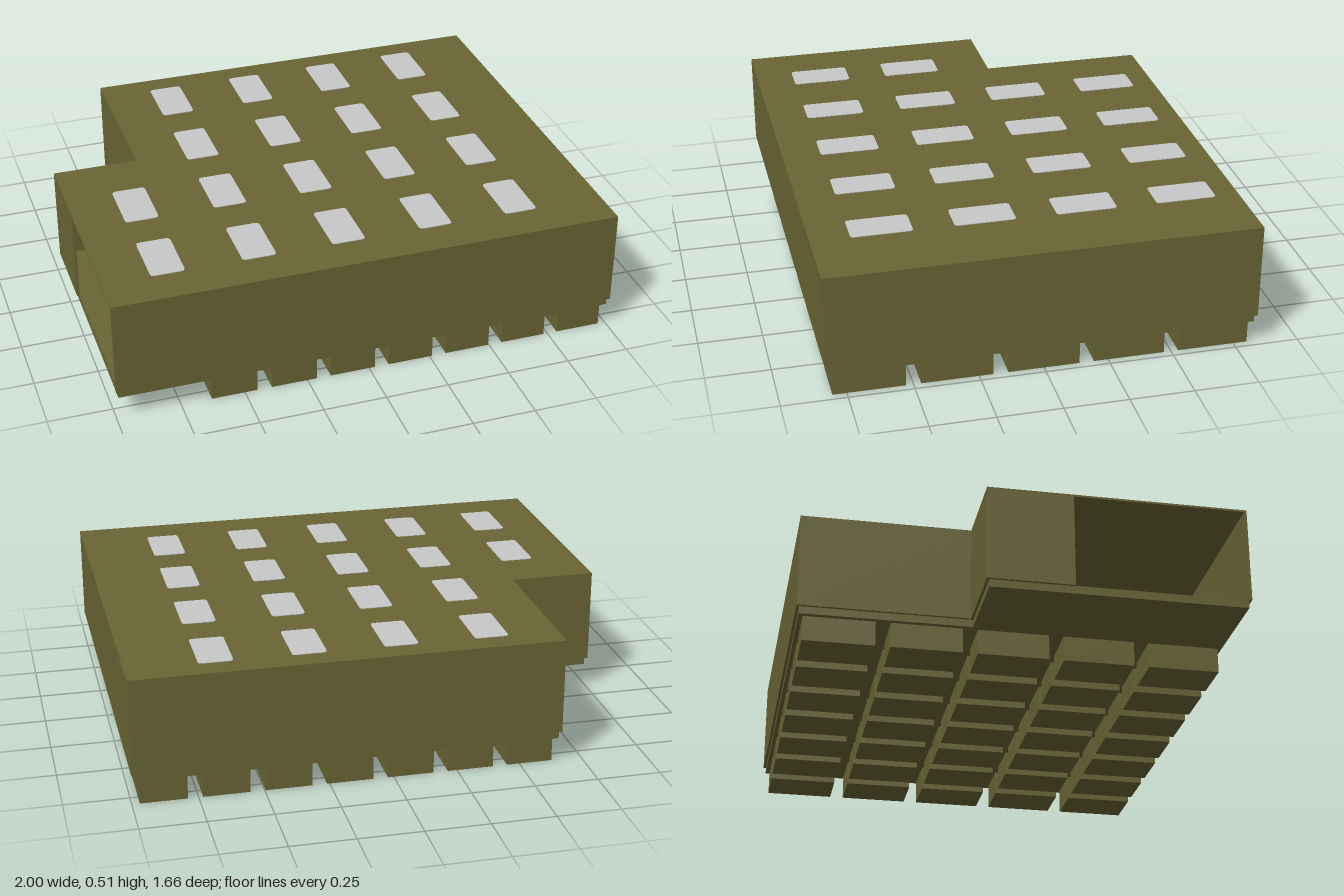
import * as THREE from 'three';

const olive = new THREE.MeshStandardMaterial({ color: 0x6a6535 });
olive.name = 'olive shell';
const pale = new THREE.MeshStandardMaterial({ color: 0xc8c8c8 });
pale.name = 'pale skylight';

// L-shaped plan as [x, z] points, shrunk inwards by d
const plan = (d) => [
  [-1 + d, 0.83 - d], [1 - d, 0.83 - d], [1 - d, -0.83 + d],
  [-0.66 + d, -0.83 + d], [-0.66 + d, -0.17 + d], [-1 + d, -0.17 + d],
];

// Horizontal plate from a shape drawn in (x, -z)
function plate(shape, y, height, material, name) {
  const geo = new THREE.ExtrudeGeometry(shape, { depth: height, bevelEnabled: false, curveSegments: 3 });
  geo.rotateX(-Math.PI / 2);
  const mesh = new THREE.Mesh(geo, material);
  mesh.position.y = y;
  mesh.name = name;
  return mesh;
}
const planShape = (d) => new THREE.Shape(plan(d).map(([x, z]) => new THREE.Vector2(x, -z)));

function box(x0, x1, y0, y1, z0, z1, name) {
  const mesh = new THREE.Mesh(new THREE.BoxGeometry(x1 - x0, y1 - y0, z1 - z0), olive);
  mesh.position.set((x0 + x1) / 2, (y0 + y1) / 2, (z0 + z1) / 2);
  mesh.name = name;
  return mesh;
}

export function createModel() {
  const model = new THREE.Group();
  model.name = 'hall';

  // Floor slab and thin roof
  model.add(plate(planShape(0.01), 0.1, 0.032, olive, 'floorSlab'));
  model.add(plate(planShape(0), 0.502, 0.008, olive, 'roof'));

  // Outer walls; the narrow end wall leaves an open doorway towards the front
  const t = 0.01, y0 = 0.13, y1 = 0.502;
  model.add(
    box(-1, 1, y0, y1, 0.83 - t, 0.83, 'frontWall'),
    box(1 - t, 1, y0, y1, -0.83, 0.83, 'longSideWall'),
    box(-0.66, 1, y0, y1, -0.83, -0.83 + t, 'backWall'),
    box(-0.66, -0.66 + t, y0, y1, -0.83, -0.17, 'notchSideWall'),
    box(-1, -0.66 + t, y0, y1, -0.17, -0.17 + t, 'notchBackWall'),
    box(-1, -1 + t, y0, y1, -0.17, 0.16, 'doorSideWall'),
  );

  // Grid of foundation blocks
  const feet = new THREE.Group();
  feet.name = 'foundationBlocks';
  for (let i = 0; i < 7; i++) {
    for (let j = 0; j < 5; j++) {
      const x = -0.54 + i * 0.2367, z = (j - 2) * 0.333;
      feet.add(box(x - 0.09, x + 0.09, 0, 0.1, z - 0.138, z + 0.138, 'foundationBlock'));
    }
  }
  model.add(feet);

  // Rounded skylights, none over the notch
  const w = 0.066, h = 0.118, r = 0.015;
  const pane = new THREE.Shape();
  pane.moveTo(-w + r, -h).lineTo(w - r, -h).quadraticCurveTo(w, -h, w, -h + r);
  pane.lineTo(w, h - r).quadraticCurveTo(w, h, w - r, h);
  pane.lineTo(-w + r, h).quadraticCurveTo(-w, h, -w, h - r);
  pane.lineTo(-w, -h + r).quadraticCurveTo(-w, -h, -w + r, -h);
  const skylights = new THREE.Group();
  skylights.name = 'skylights';
  for (let i = 0; i < 5; i++) {
    for (let j = 0; j < 4; j++) {
      if (i === 0 && j < 2) continue;
      const sky = plate(pane, 0.504, 0.0085, pale, 'skylight');
      sky.position.x = -0.748 + i * 0.352;
      sky.position.z = -0.619 + j * 0.393;
      skylights.add(sky);
    }
  }
  model.add(skylights);
  return model;
}
